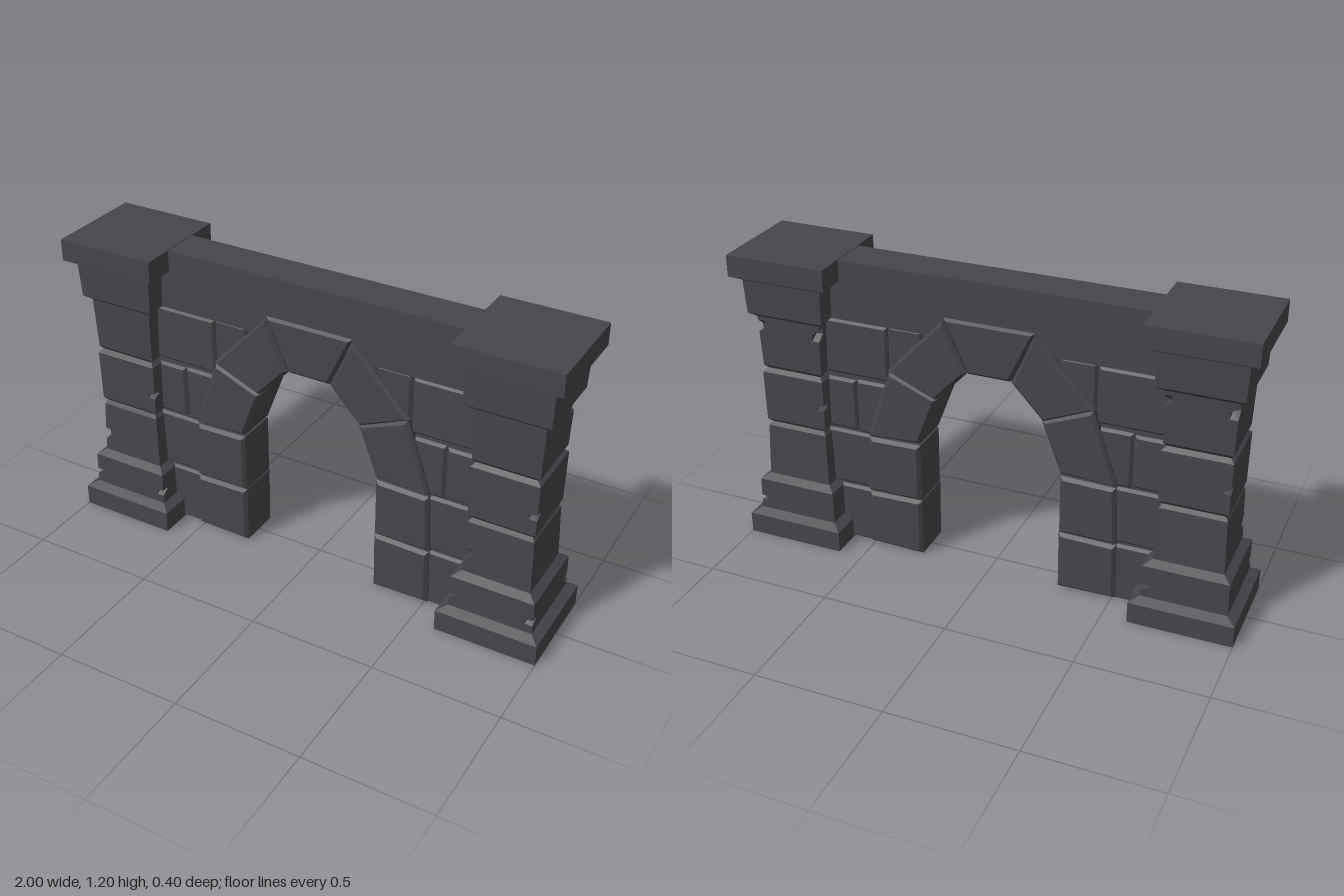
import * as THREE from 'three';

const stone = new THREE.MeshStandardMaterial({ color: 0x46454a });
stone.name = 'dark stone';

function add(parent, name, geometry) {
  const mesh = new THREE.Mesh(geometry, stone);
  mesh.name = name;
  parent.add(mesh);
  return mesh;
}

// Bevelled slab from an outline, centred on z = 0; mirror flips x
function slab(points, halfDepth, bevel, mirror = 1) {
  const shape = new THREE.Shape(points.map(([x, y]) => new THREE.Vector2(x * mirror, y)));
  const geo = new THREE.ExtrudeGeometry(shape, {
    depth: 2 * (halfDepth - bevel), bevelEnabled: bevel > 0, bevelSegments: 1,
    bevelSize: bevel, bevelThickness: bevel, bevelOffset: -bevel,
  });
  return geo.translate(0, 0, -(halfDepth - bevel));
}

const rect = (x0, x1, y0, y1) => [[x0, y0], [x1, y0], [x1, y1], [x0, y1]];

// Pillar profile: [height, half width]
const PROFILE = [
  [0, 0.2], [0.085, 0.2], [0.105, 0.165], [0.235, 0.163], [0.255, 0.133],
  [0.47, 0.126], [0.485, 0.115], [0.5, 0.128], [0.705, 0.13], [0.72, 0.114],
  [0.735, 0.126], [0.94, 0.132], [0.96, 0.157], [1.095, 0.163], [1.115, 0.2], [1.2, 0.2],
];

// Chipped pillar corners: [height, corner]; 0 = +x+z, 1 = +x-z, 2 = -x-z, 3 = -x+z
const CHIPS = [
  [0.16, 0], [0.58, 0], [0.33, 3], [0.14, 1], [0.9, 1], [0.9, 2], [0.59, 2], [0.16, 3],
];
const CORNERS = [[1, 1], [1, -1], [-1, -1], [-1, 1]];

function halfWidth(y) {
  const i = PROFILE.findIndex((p) => p[0] >= y);
  if (i <= 0) return PROFILE[0][1];
  const [y0, h0] = PROFILE[i - 1], [y1, h1] = PROFILE[i];
  return h0 + (h1 - h0) * (y - y0) / (y1 - y0);
}

// Twelve-point square ring, with chipped corners pulled inwards
function ring(y) {
  const h = halfWidth(y), c = 0.03, a = h - c;
  return CORNERS.flatMap(([sx, sz], k) => {
    const chipped = CHIPS.some(([cy, corner]) => cy === y && corner === k);
    const tip = chipped ? h - c * 0.85 : h;
    const trio = [[a, h], [tip, tip], [h, a]];
    if (k % 2) trio.reverse();
    return trio.map(([x, z]) => [sx * x, y, sz * z]);
  });
}

function pillarGeometry() {
  const heights = new Set(PROFILE.map((p) => p[0]));
  for (const [y] of CHIPS) [y - 0.025, y, y + 0.025].forEach((v) => heights.add(v));
  const rings = [...heights].sort((a, b) => a - b).map(ring);
  const pos = [];
  const tri = (...corners) => corners.forEach((p) => pos.push(...p));
  for (let r = 0; r < rings.length - 1; r++) {
    const lo = rings[r], hi = rings[r + 1];
    for (let i = 0; i < 12; i++) {
      const j = (i + 1) % 12;
      tri(lo[i], lo[j], hi[j]);
      tri(lo[i], hi[j], hi[i]);
    }
  }
  const bottom = rings[0], top = rings[rings.length - 1];
  for (let i = 1; i < 11; i++) {
    tri(top[0], top[i], top[i + 1]);
    tri(bottom[0], bottom[i + 1], bottom[i]);
  }
  const geo = new THREE.BufferGeometry();
  geo.setAttribute('position', new THREE.Float32BufferAttribute(pos, 3));
  geo.computeVertexNormals();
  return geo;
}

// Arch stones of one side, from the ground up
const ARCH = [
  [[0.285, 0.003], [0.515, 0.008], [0.51, 0.24], [0.283, 0.245]],
  [[0.285, 0.247], [0.512, 0.247], [0.5, 0.485], [0.285, 0.49]],
  [[0.285, 0.5], [0.505, 0.49], [0.405, 0.785], [0.208, 0.705]],
  [[0.215, 0.7], [0.412, 0.785], [0.178, 1.035], [0.088, 0.835]],
];
const KEYSTONE = [[-0.085, 0.835], [0.085, 0.835], [0.178, 1.042], [-0.178, 1.042]];

// Wall bricks of one side
const BRICKS = [
  rect(0.45, 0.7, 0, 0.24), rect(0.45, 0.7, 0.25, 0.485),
  rect(0.4, 0.553, 0.49, 0.715), rect(0.557, 0.7, 0.495, 0.71),
  rect(0.27, 0.41, 0.73, 0.965), rect(0.414, 0.7, 0.73, 0.955),
];

// Mortar core behind the bricks, hidden by the arch on its inner edge
const CORE = [
  [0.42, 0], [0.72, 0], [0.72, 1], [0, 1], [0, 0.93], [0.13, 0.93],
  [0.31, 0.75], [0.4, 0.5],
];

export function createModel() {
  const model = new THREE.Group();
  model.name = 'stoneArchway';

  const pillar = pillarGeometry();
  for (const side of [1, -1]) {
    const label = side > 0 ? 'left' : 'right';
    add(model, label + 'Pillar', pillar).position.x = side * 0.8;

    const arch = new THREE.Group();
    arch.name = label + 'ArchStones';
    ARCH.forEach((p, i) => add(arch, 'archStone' + (i + 1), slab(p, 0.095, 0.013, side)));

    const wall = new THREE.Group();
    wall.name = label + 'Wall';
    add(wall, 'mortarCore', slab(CORE, 0.062, 0, side));
    BRICKS.forEach((p, i) => add(wall, 'brick' + (i + 1), slab(p, 0.076, 0.01, side)));
    model.add(arch, wall);
  }

  add(model, 'keystone', slab(KEYSTONE, 0.092, 0.012));

  // Lintel between the pillars, notched around the crown of the arch
  add(model, 'lintel', slab([
    [-0.68, 0.96], [-0.2, 0.96], [-0.12, 1.0], [0.12, 1.0], [0.2, 0.96],
    [0.68, 0.96], [0.68, 1.198], [-0.68, 1.198],
  ], 0.079, 0));

  return model;
}
